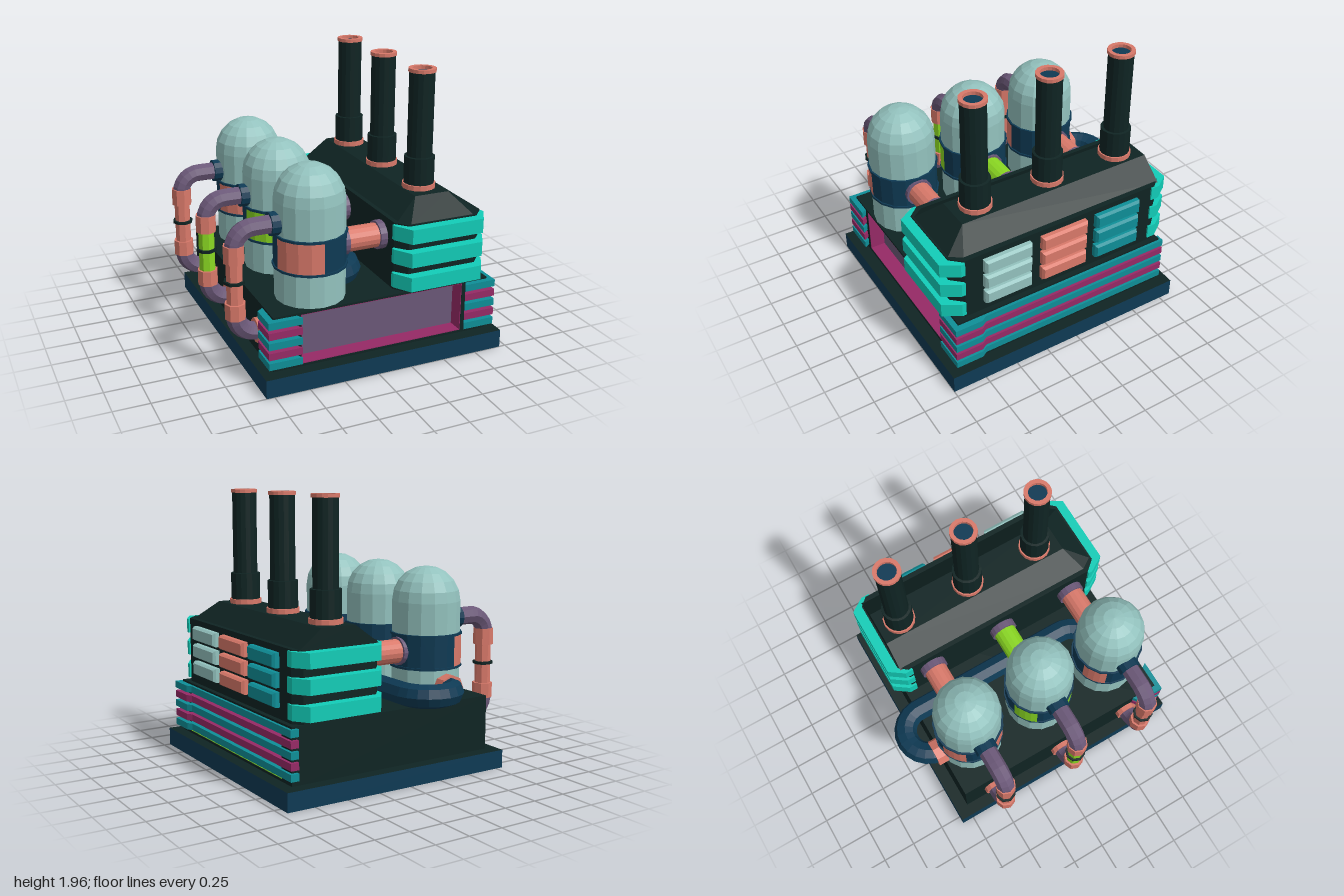
import * as THREE from 'three';
import { ConvexGeometry } from 'three/addons/geometries/ConvexGeometry.js';

const V = (x, y, z) => new THREE.Vector3(x, y, z);
const rad = THREE.MathUtils.degToRad;

export function createModel() {
  const root = new THREE.Group();
  root.name = 'factory';
  const mat = (name, color) => {
    const m = new THREE.MeshStandardMaterial({ color, flatShading: true });
    m.name = name;
    return m;
  };
  const dark = mat('dark green', 0x0f2423), navy = mat('navy', 0x0e3a54), pale = mat('pale aqua', 0x93c2be);
  const salmon = mat('salmon', 0xd9796a), purple = mat('purple', 0x6b5878), magenta = mat('magenta', 0x962a66);
  const teal = mat('teal', 0x0e8f98), turquoise = mat('turquoise', 0x12cdb8);
  const lime = mat('lime', 0x8ad822), gold = mat('gold', 0xc8973a);

  const add = (name, geo, material) => {
    const m = new THREE.Mesh(geo, material);
    m.name = name;
    root.add(m);
    return m;
  };
  // box from its minimum and maximum on each axis
  const box = (name, material, x0, x1, y0, y1, z0, z1) => {
    const g = new THREE.BoxGeometry(x1 - x0, y1 - y0, z1 - z0);
    g.translate((x0 + x1) / 2, (y0 + y1) / 2, (z0 + z1) / 2);
    return add(name, g, material);
  };
  // floor outline of [x, z] points raised from y0 to y1
  const plan = (name, material, pts, y0, y1) => {
    const s = new THREE.Shape(pts.map(([x, z]) => new THREE.Vector2(x, -z)));
    const g = new THREE.ExtrudeGeometry(s, { depth: y1 - y0, bevelEnabled: false });
    g.rotateX(-Math.PI / 2).translate(0, y0, 0);
    return add(name, g, material);
  };
  const lathe = (name, material, pts, x, z, n = 16) => {
    const g = new THREE.LatheGeometry(pts.map(([r, y]) => new THREE.Vector2(r, y)), n);
    g.translate(x, 0, z);
    return add(name, g, material);
  };
  // cylinder between two points
  const rod = (name, material, a, b, r, n = 12) => {
    const d = b.clone().sub(a);
    const m = add(name, new THREE.CylinderGeometry(r, r, d.length(), n), material);
    m.position.copy(a).addScaledVector(d, 0.5);
    m.quaternion.setFromUnitVectors(V(0, 1, 0), d.normalize());
    return m;
  };
  // pipe along straight runs with rounded corners
  const pipe = (name, material, pts, r, bend, steps) => {
    const path = new THREE.CurvePath();
    let from = pts[0];
    for (let i = 1; i < pts.length - 1; i++) {
      const p = pts[i];
      const a = p.clone().add(pts[i - 1].clone().sub(p).setLength(bend));
      const b = p.clone().add(pts[i + 1].clone().sub(p).setLength(bend));
      if (from.distanceTo(a) > 0.001) path.add(new THREE.LineCurve3(from, a));
      const k = 0.55;
      path.add(new THREE.CubicBezierCurve3(a, a.clone().lerp(p, k), b.clone().lerp(p, k), b));
      from = b;
    }
    const last = pts[pts.length - 1];
    if (from.distanceTo(last) > 0.001) path.add(new THREE.LineCurve3(from, last));
    return add(name, new THREE.TubeGeometry(path, steps, r, 8), material);
  };

  // base slab
  box('baseSlab', [navy, navy, dark, dark, navy, navy], -0.805, 0.953, 0, 0.13, -0.84, 1);

  // podium with recesses in the front and left sides
  box('podiumCore', dark, -0.72, 0.81, 0.13, 0.52, -0.75, 0.79);
  box('podiumFrontPost', dark, -0.72, -0.525, 0.13, 0.52, 0.78, 0.91);
  box('podiumCornerPost', dark, 0.675, 0.87, 0.13, 0.52, 0.78, 0.91);
  box('podiumBackPost', dark, 0.8, 0.87, 0.13, 0.52, -0.75, -0.62);
  for (const [y0, y1] of [[0.13, 0.147], [0.505, 0.52]]) {
    box('frontLip', dark, -0.53, 0.68, y0, y1, 0.78, 0.91);
    box('sideLip', dark, 0.8, 0.87, y0, y1, -0.63, 0.79);
  }
  box('frontPanel', purple, -0.525, 0.675, 0.147, 0.505, 0.788, 0.797);
  box('frontRecessFloor', magenta, -0.525, 0.675, 0.146, 0.152, 0.79, 0.908);
  box('frontRecessCeiling', magenta, -0.525, 0.675, 0.5, 0.506, 0.79, 0.908);
  box('frontRecessWall', magenta, -0.526, -0.52, 0.147, 0.505, 0.79, 0.908);
  box('frontRecessWall', magenta, 0.67, 0.676, 0.147, 0.505, 0.79, 0.908);
  box('sidePanel', gold, 0.808, 0.816, 0.147, 0.505, -0.62, 0.78);
  box('sideRecessFloor', lime, 0.81, 0.868, 0.145, 0.151, -0.62, 0.78);

  // stacked strips wrapping the podium corners
  const rightCorner = [[-0.765, 0.75], [-0.765, 0.95], [-0.53, 0.95], [-0.56, 0.9], [-0.71, 0.9], [-0.71, 0.71]];
  const leftSide = [[0.68, 0.95], [0.915, 0.95], [0.915, 0.75], [0.89, 0.71], [0.89, -0.775], [0.83, -0.775],
    [0.83, -0.74], [0.845, -0.74], [0.845, 0.9], [0.71, 0.9]];
  for (let i = 0; i < 5; i++) {
    const y = 0.168 + i * 0.072, m = i % 2 ? magenta : teal;
    plan('rightCornerStrip', m, rightCorner, y, y + 0.05);
    plan('leftSideStrip', m, leftSide, y, y + 0.05);
  }

  // engine house and its roof
  const house = [[0.18, 0.83], [0.25, 0.91], [0.76, 0.91], [0.835, 0.83], [0.835, -0.69], [0.78, -0.75], [0.23, -0.75], [0.18, -0.69]];
  plan('houseBody', dark, house, 0.52, 1.0);
  const roof = [];
  for (const x of [0.2, 0.81]) for (const z of [-0.74, 0.82]) roof.push(V(x, 0.99, z));
  for (const x of [0.26, 0.75]) roof.push(V(x, 0.99, 0.91));
  for (const x of [0.385, 0.64]) for (const z of [-0.74, 0.73]) roof.push(V(x, 1.125, z));
  add('houseRoof', new ConvexGeometry(roof), dark);

  // three bands on the front and back of the house
  const frontBand = [[0.165, 0.83], [0.165, 0.86], [0.24, 0.98], [0.775, 0.98], [0.847, 0.86], [0.847, 0.83]];
  const backBand = [[0.165, -0.66], [0.165, -0.72], [0.24, -0.825], [0.775, -0.825], [0.847, -0.72], [0.847, -0.66]];
  for (const y of [0.548, 0.722, 0.89]) {
    plan('frontBand', turquoise, frontBand, y, y + 0.102);
    plan('backBand', turquoise, backBand, y, y + 0.102);
  }

  // louvres in three colours on the left side of the house
  [[0.515, pale], [0.075, salmon], [-0.36, teal]].forEach(([z, m]) => {
    for (const y of [0.648, 0.778, 0.907]) {
      const pts = [];
      for (const s of [-1, 1]) for (const t of [-1, 1]) {
        pts.push(V(0.82, y + s * 0.051, z + t * 0.18), V(0.865, y + s * 0.051, z + t * 0.18));
        pts.push(V(0.885, y + s * 0.038, z + t * 0.167));
      }
      add('louvre', new ConvexGeometry(pts), m);
    }
  });

  // chimneys
  for (const z of [-0.573, -0.008, 0.556]) {
    const x = 0.505;
    lathe('chimneyFoot', salmon, [[0, 1.115], [0.116, 1.115], [0.116, 1.16], [0, 1.16]], x, z);
    lathe('chimneySleeve', dark, [[0.106, 1.15], [0.106, 1.35], [0.088, 1.352]], x, z);
    lathe('chimneyStack', dark, [[0.088, 1.35], [0.088, 1.94]], x, z);
    lathe('chimneyRim', salmon, [[0.066, 1.91], [0.086, 1.935], [0.095, 1.935], [0.095, 1.96], [0.066, 1.96], [0.066, 1.91]], x, z);
    const flue = add('chimneyFlue', new THREE.CircleGeometry(0.07, 16), navy);
    flue.rotation.x = -Math.PI / 2;
    flue.position.set(x, 1.935, z);
  }

  // tanks with belts, outlet pipes and links to the house
  [[-0.507, salmon], [0.08, lime], [0.665, salmon]].forEach(([z, accent]) => {
    const x = -0.36, r = 0.24;
    const profile = [[r, 0.51], [r, 0.86], [r, 1.205]];
    for (let i = 1; i <= 5; i++) profile.push([r * Math.cos(i * Math.PI / 10), 1.205 + r * Math.sin(i * Math.PI / 10)]);
    lathe('tank', pale, profile, x, z);
    lathe('tankBelt', navy, [[0.244, 0.755], [0.244, 0.98]], x, z);
    for (const y of [0.745, 0.972])
      lathe('beltRim', navy, [[0.235, y], [0.254, y], [0.254, y + 0.016], [0.235, y + 0.016]], x, z);
    for (const [start, sweep] of [[-80, 80], [-165, 42]]) {
      const g = new THREE.CylinderGeometry(0.249, 0.249, 0.21, 4, 1, true, rad(start), rad(sweep));
      add('beltPanel', g, accent).position.set(x, 0.867, z);
    }

    // link to the house
    rod('houseLink', accent, V(-0.14, 0.865, z), V(0.17, 0.865, z), 0.085, 16);
    rod('linkCollar', purple, V(0.12, 0.865, z), V(0.17, 0.865, z), 0.1, 16);
    rod('linkCollar', purple, V(-0.14, 0.865, z), V(-0.105, 0.865, z), 0.1, 16);

    // outlet pipe down to the podium
    const px = -0.888;
    rod('outletCollar', navy, V(-0.645, 1.063, z), V(-0.57, 1.063, z), 0.08);
    pipe('upperElbow', purple, [V(-0.6, 1.063, z), V(px, 1.063, z), V(px, 0.93, z)], 0.065, 0.13, 10);
    rod('pipeSocket', salmon, V(px, 0.84, z), V(px, 0.96, z), 0.072, 8);
    rod('pipeRun', accent, V(px, 0.54, z), V(px, 0.85, z), 0.057, 8);
    rod('pipeRing', dark, V(px, 0.695, z), V(px, 0.715, z), 0.073, 8);
    rod('pipeSocket', salmon, V(px, 0.445, z), V(px, 0.555, z), 0.072, 8);
    pipe('lowerElbow', purple, [V(px, 0.47, z), V(px, 0.325, z), V(-0.71, 0.325, z)], 0.065, 0.14, 10);
    rod('pipeFlange', salmon, V(-0.755, 0.325, z), V(-0.71, 0.325, z), 0.085);
  });

  // large pipe looping from the rear tank to the front tank
  pipe('loopPipe', navy, [V(-0.36, 0.62, -0.7), V(-0.36, 0.62, -0.925), V(-0.01, 0.62, -0.925),
    V(-0.01, 0.62, 0.665), V(-0.2, 0.62, 0.665)], 0.083, 0.174, 40);
  rod('loopCollar', salmon, V(-0.36, 0.62, -0.81), V(-0.36, 0.62, -0.73), 0.1, 8);

  return root;
}
